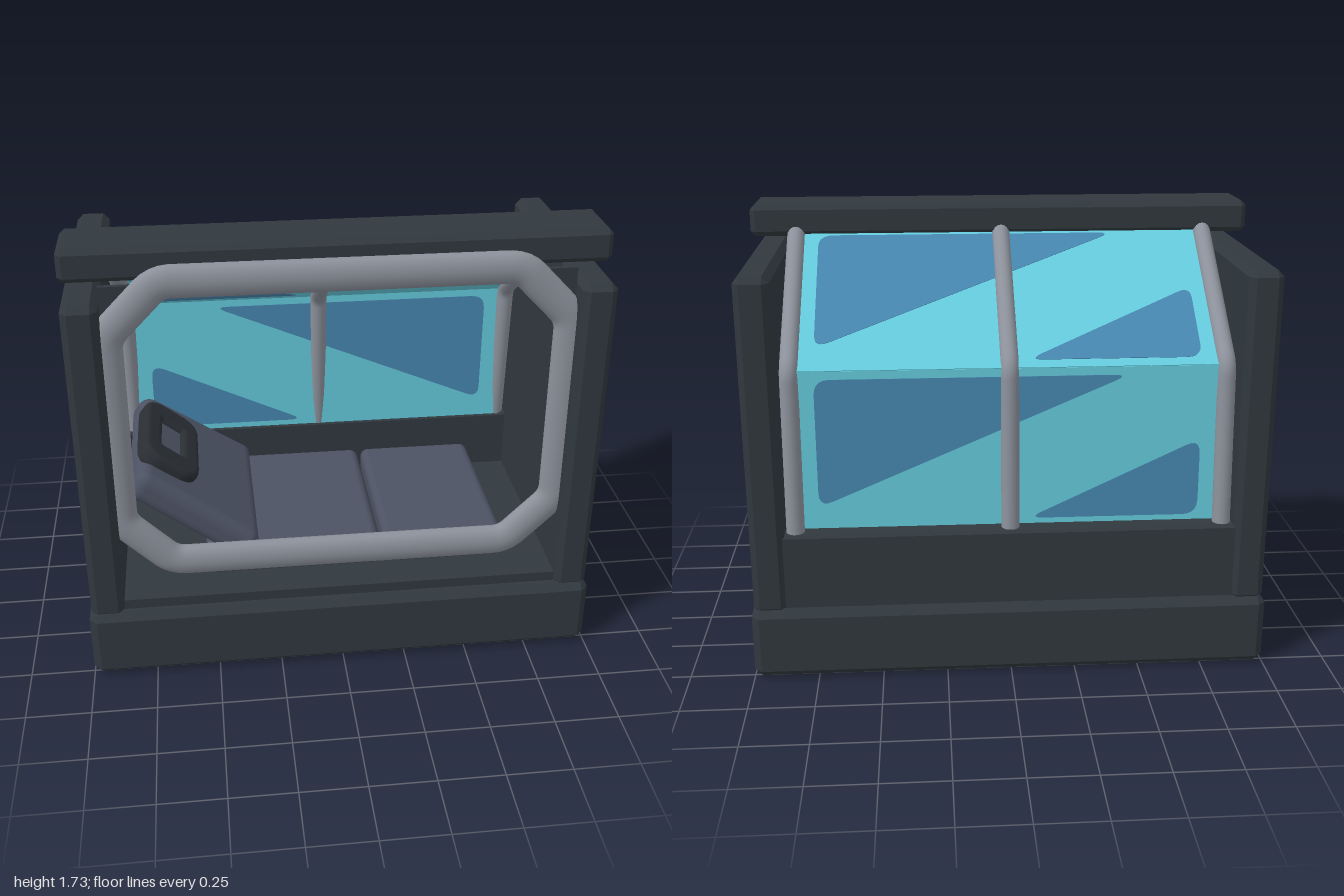
import * as THREE from 'three';
import { ConvexGeometry } from 'three/addons/geometries/ConvexGeometry.js';
import { RoundedBoxGeometry } from 'three/addons/geometries/RoundedBoxGeometry.js';

const V = (x, y, z) => new THREE.Vector3(x, y, z);

function material(name, color, side = THREE.FrontSide) {
  const m = new THREE.MeshStandardMaterial({ color, side });
  m.name = name;
  return m;
}

// Box with every edge cut at 45 degrees
function chamferBox(w, h, d, b) {
  const pts = [];
  for (const x of [-w / 2, w / 2]) for (const y of [-h / 2, h / 2]) for (const z of [-d / 2, d / 2]) {
    const ix = x - Math.sign(x) * b, iy = y - Math.sign(y) * b, iz = z - Math.sign(z) * b;
    pts.push(V(x, iy, iz), V(ix, y, iz), V(ix, iy, z));
  }
  return new ConvexGeometry(pts);
}

// Round pipe along straight runs joined by small bends
function pipe(points, radius, bend, closed, segments) {
  const path = new THREE.CurvePath();
  const n = points.length;
  const toward = (a, b) => a.clone().add(b.clone().sub(a).setLength(bend));
  let from = points[0];
  for (let i = 1; i < n - 1; i++) {
    const start = toward(points[i], points[i - 1]), end = toward(points[i], points[i + 1]);
    path.add(new THREE.LineCurve3(from, start));
    path.add(new THREE.QuadraticBezierCurve3(start, points[i], end));
    from = end;
  }
  path.add(new THREE.LineCurve3(from, points[n - 1]));
  return new THREE.TubeGeometry(path, segments, radius, 16, closed);
}

// Outline with rounded corners
function roundedOutline(points, r) {
  const shape = new THREE.Shape();
  const n = points.length;
  points.forEach((p, i) => {
    const c = new THREE.Vector2(...p);
    const step = (q) => new THREE.Vector2(...q).sub(c).setLength(r).add(c);
    const a = step(points[(i + n - 1) % n]), b = step(points[(i + 1) % n]);
    if (i === 0) shape.moveTo(a.x, a.y); else shape.lineTo(a.x, a.y);
    shape.quadraticCurveTo(c.x, c.y, b.x, b.y);
  });
  shape.closePath();
  return shape;
}

export function createModel() {
  const group = new THREE.Group();
  const shell = material('shell dark grey', 0x30383e);
  const metal = material('metal grey', 0x8c919b);
  const glass = material('glass cyan', 0x65cddf);
  const shine = material('glass reflection blue', 0x4788b2);
  const fabric = material('cushion slate', 0x4c5263);
  const black = material('headrest black', 0x2a2e33);

  function add(name, geometry, mat, x = 0, y = 0, z = 0, parent = group) {
    const mesh = new THREE.Mesh(geometry, mat);
    mesh.name = name;
    mesh.position.set(x, y, z);
    parent.add(mesh);
    return mesh;
  }

  // Shell: base, floor, rear sill, top beam and side walls
  add('base', chamferBox(2, 0.285, 1.07, 0.03), shell, 0, 0.1425, 0);
  add('floor', new THREE.BoxGeometry(1.74, 0.06, 0.98), shell, 0, 0.295, 0);
  add('rearSill', chamferBox(1.76, 0.32, 0.09, 0.01), shell, 0, 0.42, -0.455);
  add('topBeam', chamferBox(2, 0.125, 0.255, 0.02), shell, 0, 1.672, 0.255);
  for (const s of [-1, 1]) {
    add('sideWall', chamferBox(0.13, 1.31, 1.035, 0.025), shell, s * 0.925, 0.92, 0);
    // Small gusset behind the upper corner of the front frame
    const gusset = new THREE.Shape([[0.66, 1.61], [0.86, 1.42], [0.86, 1.61]].map(p => new THREE.Vector2(...p)));
    const plate = new THREE.ExtrudeGeometry(gusset, { depth: 0.02, bevelEnabled: false });
    if (s < 0) plate.rotateY(Math.PI).translate(0, 0, 0.02);
    add('cornerGusset', plate, shell, 0, 0, 0.4);
  }

  // Octagonal front frame, flattened front to back
  const half = [[0, 0.455], [0.66, 0.455], [0.85, 0.645], [0.85, 1.42], [0.655, 1.622], [0, 1.622]];
  const ring = [...half, ...half.slice(1, -1).reverse().map(([x, y]) => [-x, y]), half[0]];
  const frame = add('frontFrame', pipe(ring.map(([x, y]) => V(x, y, 0)), 0.063, 0.05, true, 240), metal, 0, 0, 0.42);
  frame.scale.z = 0.64;

  // Canopy ribs
  for (const x of [-0.82, 0, 0.82]) {
    const rib = [V(x, 1.632, 0.21), V(x, 1.632, 0.16), V(x, 1.2, -0.405), V(x, 0.55, -0.452)];
    add('canopyRib', pipe(rib, 0.035, 0.04, false, 80), metal);
  }

  // Glass panes with two reflections each, given as [bottom, top] in (z, y)
  function pane(name, [z0, y0], [z1, y1]) {
    const h = Math.hypot(z1 - z0, y1 - y0);
    const g = new THREE.Group();
    g.name = name;
    g.position.set(0, y0, z0);
    g.rotation.x = Math.atan2(z1 - z0, y1 - y0);
    add('glass', new THREE.BoxGeometry(1.64, h, 0.006), glass, 0, h / 2, 0, g);
    const marks = [
      [[-0.45, 0.95], [0.73, 0.95], [0.73, 0.15]],
      [[-0.73, 0.05], [-0.07, 0.05], [-0.73, 0.54]],
    ];
    for (const mark of marks) {
      const outline = roundedOutline(mark.map(([x, v]) => [x, v * h]), 0.06);
      const geo = new THREE.ExtrudeGeometry(outline, { depth: 0.0098, bevelEnabled: false, curveSegments: 5 });
      add('reflection', geo, shine, 0, 0, -0.0049, g);
    }
    group.add(g);
  }
  pane('rearPane', [-0.42, 0.57], [-0.41, 1.2]);
  pane('roofPane', [-0.41, 1.2], [0.16, 1.63]);

  // Screen on the inside of the right wall
  add('wallScreen', new THREE.BoxGeometry(0.008, 0.27, 0.43), glass, -0.857, 0.89, -0.055);

  // Seat cushions
  add('seatCushion', new RoundedBoxGeometry(0.7, 0.11, 0.78, 4, 0.035), fabric, -0.18, 0.4, 0);
  add('legCushion', new RoundedBoxGeometry(0.49, 0.11, 0.78, 4, 0.035), fabric, 0.43, 0.4, 0);

  // Reclined backrest, narrower toward the head
  const back = new RoundedBoxGeometry(0.56, 0.13, 0.78, 5, 0.05);
  const pos = back.attributes.position;
  for (let i = 0; i < pos.count; i++) pos.setZ(i, pos.getZ(i) * (0.94 + 0.2 * pos.getX(i)));
  back.computeVertexNormals();
  add('backrest', back, fabric, -0.57, 0.6, 0).rotation.z = -0.61;

  // Padded headrest ring around a soft centre
  const rect = (w, d) => [[-w, -d], [w, -d], [w, d], [-w, d]];
  const outer = roundedOutline(rect(0.11, 0.21), 0.07);
  outer.holes.push(roundedOutline(rect(0.07, 0.13), 0.03));
  const pad = new THREE.ExtrudeGeometry(outer, {
    depth: 0.03, bevelThickness: 0.025, bevelSize: 0.022, bevelSegments: 4, curveSegments: 8,
  });
  pad.translate(0, 0, -0.015).rotateX(-Math.PI / 2);
  const headrest = new THREE.Group();
  headrest.name = 'headrest';
  headrest.position.set(-0.665, 0.755, 0.02);
  headrest.rotation.z = -0.66;
  add('headrestRing', pad, black, 0, 0, 0, headrest);
  add('headrestPad', new RoundedBoxGeometry(0.16, 0.05, 0.28, 3, 0.015), fabric, 0, -0.01, 0, headrest);
  group.add(headrest);

  return group;
}
